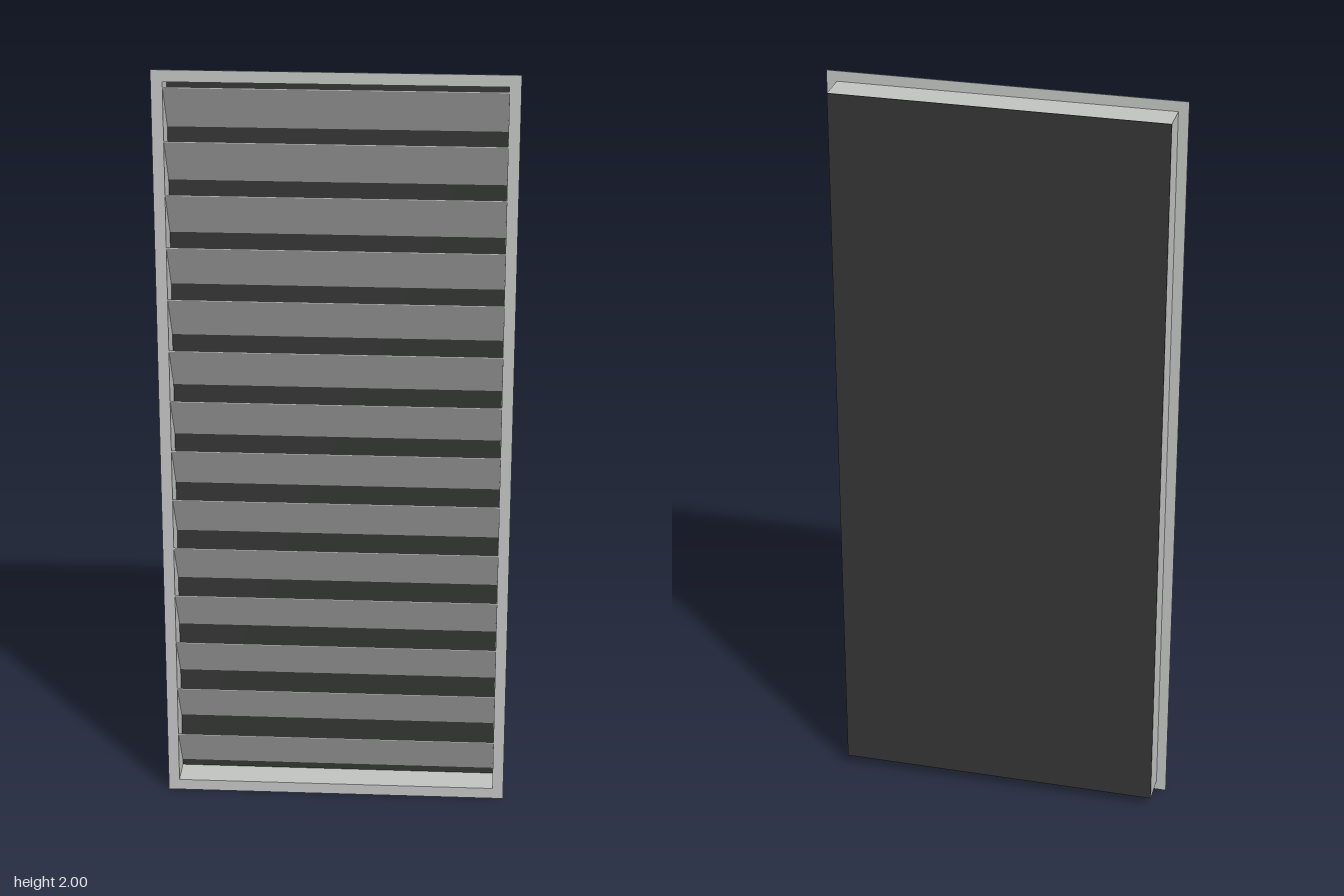
import * as THREE from 'three';

// Rectangular wall vent: flanged duct frame, sloping slats and a dark back panel.
export function createModel() {
  const model = new THREE.Group();
  model.name = 'louverVent';
  const metal = new THREE.MeshStandardMaterial({ color: 0xc0c2c0 });
  metal.name = 'light grey metal';
  const dark = new THREE.MeshStandardMaterial({ color: 0x333533 });
  dark.name = 'dark backing';

  const add = (name, geometry, material, x = 0, y = 0, z = 0) => {
    const mesh = new THREE.Mesh(geometry, material);
    mesh.name = name;
    mesh.position.set(x, y, z);
    model.add(mesh);
    return mesh;
  };

  // Rectangular ring lying in xy, extruded along +z
  const ring = (w, h, innerW, innerH, depth) => {
    const rect = (path, a, b) => path
      .moveTo(-a / 2, -b / 2).lineTo(a / 2, -b / 2)
      .lineTo(a / 2, b / 2).lineTo(-a / 2, b / 2).closePath();
    const shape = rect(new THREE.Shape(), w, h);
    shape.holes.push(rect(new THREE.Path(), innerW, innerH));
    return new THREE.ExtrudeGeometry(shape, { depth, bevelEnabled: false });
  };

  const front = 0.043, back = -0.043;
  const boxW = 0.852, boxH = 1.946, wall = 0.003;
  const innerW = boxW - 2 * wall, innerH = boxH - 2 * wall;

  // Thin front flange and the duct walls behind it
  add('flange', ring(0.904, 2, innerW, innerH, 0.002), metal, 0, 1, front - 0.002);
  add('ductWalls', ring(boxW, boxH, innerW, innerH, 0.083), metal, 0, 1, back + 0.001);

  // Back panel closing the duct
  add('backPanel', new THREE.BoxGeometry(boxW, boxH, 0.002), dark, 0, 1, back + 0.001);

  // Slats falling from the front edge towards the back panel
  const count = 14, pitch = 0.1375, drop = 0.12;
  const zFront = 0.041, zBack = -0.041, t = 0.003;
  const section = new THREE.Shape([
    new THREE.Vector2(zFront, 0),
    new THREE.Vector2(zFront, t),
    new THREE.Vector2(zBack, t - drop),
    new THREE.Vector2(zBack, -drop),
  ]);
  const slat = new THREE.ExtrudeGeometry(section, { depth: innerW, bevelEnabled: false });
  slat.rotateY(-Math.PI / 2); // section x becomes z, extrusion runs along -x
  slat.translate(innerW / 2, 0, 0);
  for (let i = 0; i < count; i++) {
    add('slat' + (i + 1), slat, metal, 0, 1.954 - i * pitch, 0);
  }
  return model;
}
